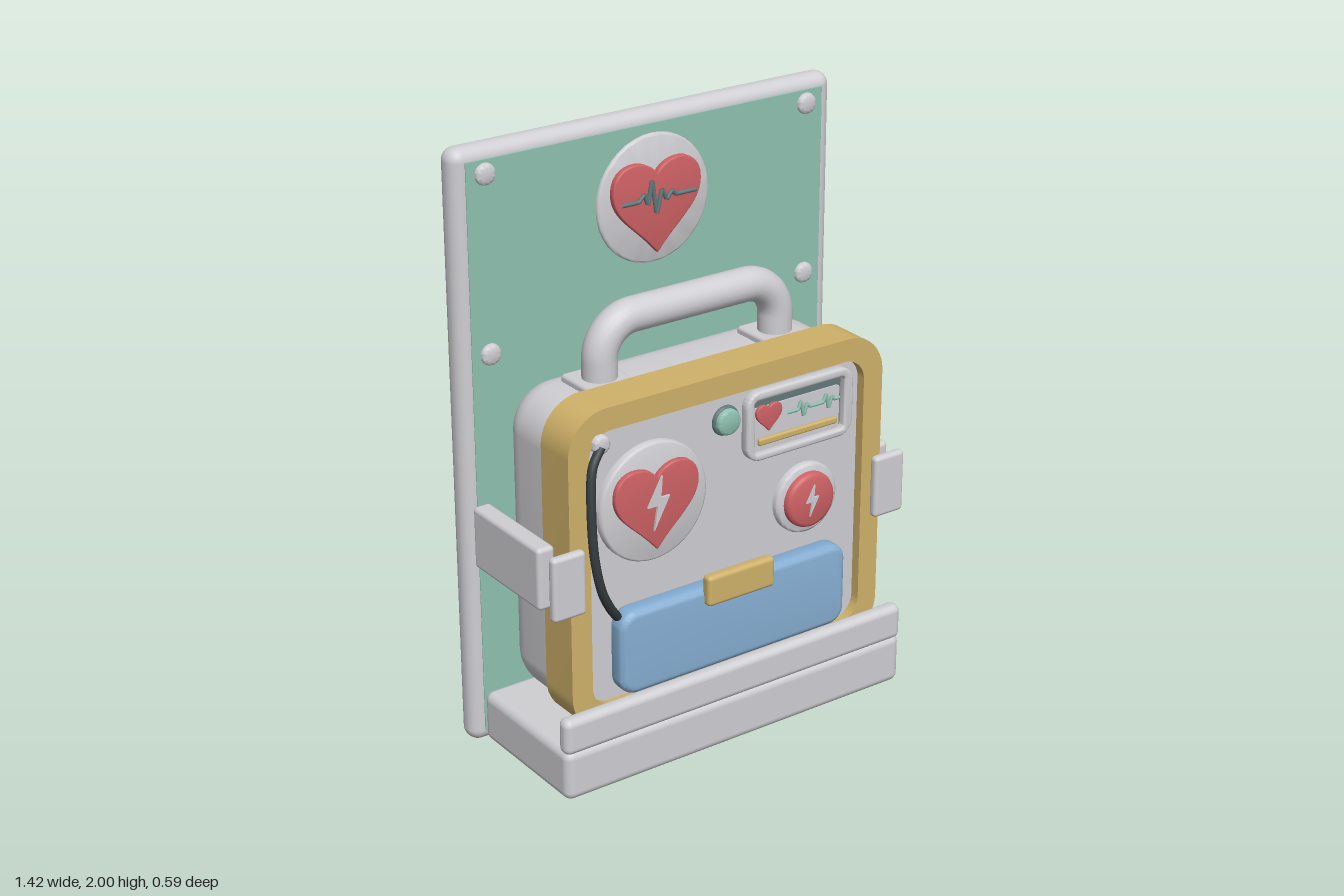
import * as THREE from 'three';
import { toCreasedNormals } from 'three/addons/utils/BufferGeometryUtils.js';
import { RoundedBoxGeometry } from 'three/addons/geometries/RoundedBoxGeometry.js';

const mat = (name, color) => {
  const m = new THREE.MeshStandardMaterial({ color });
  m.name = name;
  return m;
};

export function createModel() {
  const model = new THREE.Group();
  model.name = 'wallMountedDefibrillator';
  const grey = mat('light grey', 0xcfcfd3);
  const teal = mat('teal', 0x8fc1b0);
  const yellow = mat('mustard', 0xcfb169);
  const blue = mat('blue', 0x86aed2);
  const red = mat('red', 0xcf6265);
  const dark = mat('charcoal', 0x363c40);
  const slate = mat('slate', 0x62787a);

  const add = (name, geometry, material, x = 0, y = 0, z = 0) => {
    const mesh = new THREE.Mesh(geometry, material);
    mesh.name = name;
    mesh.position.set(x, y, z);
    model.add(mesh);
    return mesh;
  };
  // Rounded box given by its extents
  const box = (name, material, [x0, x1], [y0, y1], [z0, z1], r) => add(name,
    new RoundedBoxGeometry(x1 - x0, y1 - y0, z1 - z0, 4, r), material,
    (x0 + x1) / 2, (y0 + y1) / 2, (z0 + z1) / 2);
  const rounded = (x0, x1, y0, y1, r, Type = THREE.Shape) => {
    const s = new Type();
    s.absarc(x1 - r, y0 + r, r, -Math.PI / 2, 0);
    s.absarc(x1 - r, y1 - r, r, 0, Math.PI / 2);
    s.absarc(x0 + r, y1 - r, r, Math.PI / 2, Math.PI);
    s.absarc(x0 + r, y0 + r, r, Math.PI, Math.PI * 1.5);
    s.closePath();
    return s;
  };
  // Extrusion from z0 to z1; the bevel stays inside both limits
  const slab = (name, material, shape, z0, z1, bevel = 0, x = 0, y = 0, bevelSegments = 3) => {
    const g = new THREE.ExtrudeGeometry(shape, {
      depth: z1 - z0 - 2 * bevel, curveSegments: 12, bevelEnabled: bevel > 0,
      bevelSize: bevel, bevelThickness: bevel, bevelSegments,
    });
    return add(name, toCreasedNormals(g, 0.6), material, x, y, z0 + bevel);
  };
  // Disc facing the front, with a softly rounded rim
  const disc = (name, material, x, y, r, z0, z1, b = 0.008) => {
    const h = z1 - z0;
    const pts = [[r, 0], [r, h - b], [r - b * 0.3, h - b * 0.3], [r - b, h], [0, h]]
      .map(([a, c]) => new THREE.Vector2(a, c));
    const g = new THREE.LatheGeometry(pts, 40).rotateX(Math.PI / 2);
    return add(name, toCreasedNormals(g, 0.9), material, x, y, z0);
  };
  const heart = (w) => {
    const s = new THREE.Shape();
    s.moveTo(0, -0.95 * w);
    s.bezierCurveTo(0.45 * w, -0.4 * w, w, -0.15 * w, w, 0.35 * w);
    s.bezierCurveTo(w, w, 0.2 * w, 0.95 * w, 0, 0.58 * w);
    s.bezierCurveTo(-0.2 * w, 0.95 * w, -w, w, -w, 0.35 * w);
    s.bezierCurveTo(-w, -0.15 * w, -0.45 * w, -0.4 * w, 0, -0.95 * w);
    return s;
  };
  const bolt = (h) => new THREE.Shape(
    [[0.15, 1], [-0.45, -0.08], [-0.05, -0.08], [-0.2, -1], [0.45, 0.2], [0.08, 0.2]]
      .map(([x, y]) => new THREE.Vector2(x * h, y * h)));
  const tube = (name, material, points, r, tension = 0.5, segments = 80) => {
    const path = new THREE.CatmullRomCurve3(points.map((p) => new THREE.Vector3(...p)), false, 'catmullrom', tension);
    return add(name, new THREE.TubeGeometry(path, segments, r, 10), material);
  };

  // Wall board with coloured panels on both faces
  box('backBoard', grey, [-0.71, 0.71], [0, 2], [-0.295, -0.205], 0.042);
  box('frontPanel', teal, [-0.665, 0.665], [0.04, 1.96], [-0.209, -0.202], 0.001);
  box('rearPanel', teal, [-0.668, 0.668], [0.042, 1.958], [-0.297, -0.291], 0.001);
  for (const x of [-0.6, 0.6]) {
    for (const y of [1.34, 1.915]) disc('boardScrew', grey, x, y, 0.035, -0.204, -0.186, 0.012);
  }

  // Heart sign on the board
  disc('signDisc', grey, 0, 1.72, 0.21, -0.204, -0.19);
  slab('signHeart', red, heart(0.161), -0.192, -0.168, 0.004, 0, 1.707);
  tube('signPulse', slate, [[-0.14, 1.73], [-0.075, 1.73], [-0.055, 1.75], [-0.04, 1.715], [-0.025, 1.79],
    [-0.008, 1.68], [0.012, 1.755], [0.03, 1.72], [0.05, 1.745], [0.065, 1.73], [0.14, 1.73]]
    .map(([x, y]) => [x, y, -0.164]), 0.007, 0.15, 120);

  // Shelf and front lip
  box('shelf', grey, [-0.665, 0.665], [0.01, 0.185], [-0.21, 0.28], 0.03);
  box('shelfLip', grey, [-0.665, 0.665], [0.172, 0.295], [0.225, 0.28], 0.024);

  // Side arms and front hooks
  for (const s of [-1, 1]) {
    const span = (a, b) => (s > 0 ? [a, b] : [-b, -a]);
    box('sideArm', grey, span(0.617, 0.68), [0.635, 0.845], [-0.21, 0.165], 0.015);
    box('frontHook', grey, span(0.56, 0.68), [0.63, 0.845], [0.216, 0.25], 0.014);
  }

  // Case: rounded rear shell, bumper frame and recessed face
  slab('rearShell', grey, rounded(-0.465, 0.465, 0.3, 1.135, 0.04), -0.204, 0.18, 0.11, 0, 0, 8);
  const frame = rounded(-0.6, 0.6, 0.19, 1.275, 0.14);
  frame.holes.push(rounded(-0.525, 0.525, 0.265, 1.2, 0.08, THREE.Path));
  slab('bumperFrame', yellow, frame, 0.07, 0.218);
  slab('facePanel', grey, rounded(-0.53, 0.53, 0.26, 1.205, 0.08), 0.08, 0.185);

  // Carry handle on two pads
  const grip = new THREE.CurvePath();
  const v = (x, y) => new THREE.Vector3(x, y, 0);
  grip.add(new THREE.LineCurve3(v(-0.335, 1.25), v(-0.335, 1.325)));
  grip.add(new THREE.CubicBezierCurve3(v(-0.335, 1.325), v(-0.335, 1.391), v(-0.281, 1.445), v(-0.215, 1.445)));
  grip.add(new THREE.LineCurve3(v(-0.215, 1.445), v(0.215, 1.445)));
  grip.add(new THREE.CubicBezierCurve3(v(0.215, 1.445), v(0.281, 1.445), v(0.335, 1.391), v(0.335, 1.325)));
  grip.add(new THREE.LineCurve3(v(0.335, 1.325), v(0.335, 1.25)));
  add('handle', new THREE.TubeGeometry(grip, 90, 0.056, 20), grey, 0, 0, -0.005);
  for (const x of [-0.335, 0.335]) {
    box('handlePad', grey, [x - 0.085, x + 0.085], [1.235, 1.268], [-0.095, 0.08], 0.012);
  }

  // Heart badge on the face
  disc('badgeDisc', grey, -0.285, 0.915, 0.198, 0.18, 0.212);
  slab('badgeHeart', red, heart(0.151), 0.208, 0.23, 0.004, -0.285, 0.91);
  slab('badgeBolt', grey, bolt(0.09), 0.226, 0.238, 0, -0.285, 0.92);

  // Status lamp and shock button
  disc('lampRim', slate, 0, 1.105, 0.05, 0.18, 0.198);
  disc('lamp', teal, 0, 1.105, 0.043, 0.18, 0.214);
  disc('buttonRim', grey, 0.31, 0.76, 0.12, 0.18, 0.21);
  disc('shockButton', red, 0.31, 0.76, 0.094, 0.2, 0.236, 0.014);
  slab('buttonBolt', grey, bolt(0.055), 0.233, 0.242, 0, 0.31, 0.763);

  // Display with bezel, heart, pulse trace and bar
  const bezel = rounded(0.072, 0.478, 0.952, 1.173, 0.045);
  bezel.holes.push(rounded(0.088, 0.457, 0.963, 1.157, 0.02, THREE.Path));
  slab('displayBezel', grey, bezel, 0.18, 0.216, 0.007);
  slab('displayBack', slate, rounded(0.08, 0.465, 0.955, 1.165, 0.02), 0.183, 0.191);
  slab('displayScreen', grey, rounded(0.094, 0.443, 0.97, 1.118, 0.01), 0.19, 0.196);
  slab('displayHeart', red, heart(0.047), 0.194, 0.207, 0.003, 0.158, 1.083);
  tube('displayPulse', teal, [[0.23, 1.075], [0.275, 1.075], [0.287, 1.1], [0.298, 1.05], [0.31, 1.085], [0.322, 1.075],
    [0.375, 1.075], [0.387, 1.1], [0.398, 1.05], [0.41, 1.085], [0.42, 1.075], [0.44, 1.075]]
    .map(([x, y]) => [x, y, 0.199]), 0.006, 0.15, 120);
  box('displayBar', yellow, [0.118, 0.43], [0.99, 1.014], [0.192, 0.208], 0.007);

  // Accessory pouch with clasp
  slab('pouch', blue, rounded(-0.415, 0.415, 0.32, 0.56, 0.035), 0.18, 0.258, 0.025, 0, 0, 6);
  box('pouchClasp', yellow, [-0.13, 0.13], [0.53, 0.635], [0.245, 0.284], 0.014);

  // Cable from its socket to the pouch
  disc('cableSocket', grey, -0.488, 1.167, 0.03, 0.18, 0.24, 0.01);
  tube('cable', dark, [[-0.492, 1.16, 0.232], [-0.535, 1.1, 0.248], [-0.553, 0.98, 0.268], [-0.553, 0.84, 0.28],
    [-0.53, 0.72, 0.279], [-0.49, 0.64, 0.262], [-0.445, 0.58, 0.238]], 0.015);

  return model;
}
